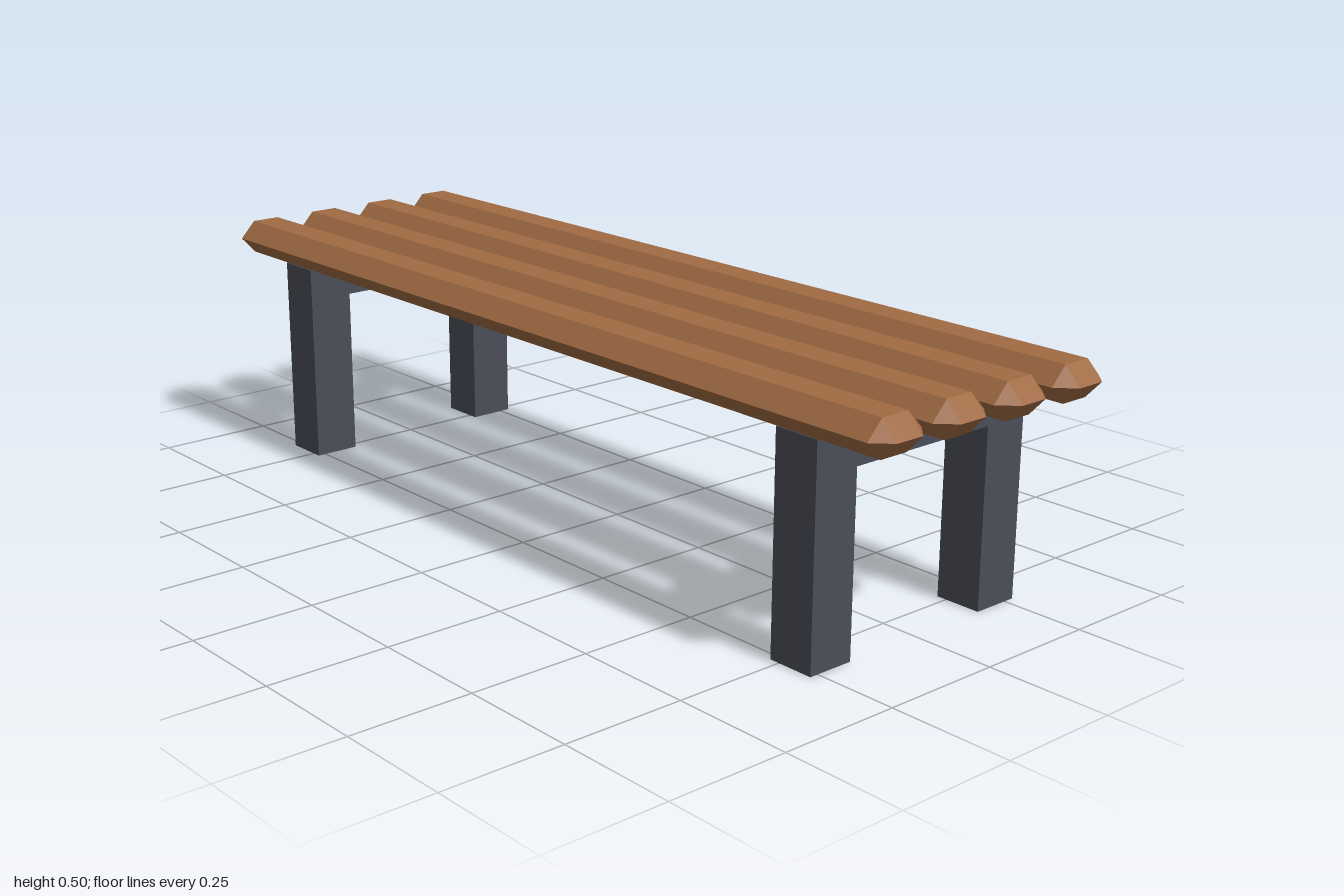
import * as THREE from 'three';
import { ConvexGeometry } from 'three/addons/geometries/ConvexGeometry.js';

export function createModel() {
  const bench = new THREE.Group();
  bench.name = 'bench';

  const wood = new THREE.MeshStandardMaterial({ color: 0xa06a43 });
  wood.name = 'brown wood';
  const metal = new THREE.MeshStandardMaterial({ color: 0x4a4e58 });
  metal.name = 'dark grey metal';

  // Slat: a plank bevelled on all sides down to a sharp edge at mid height
  const halfLength = 1, halfHeight = 0.036, halfWidth = 0.065, bevel = 0.034;
  const points = [];
  for (const sx of [-1, 1]) {
    for (const sz of [-1, 1]) {
      const x = sx * (halfLength - bevel);
      const z = sz * (halfWidth - bevel);
      points.push(
        new THREE.Vector3(x, halfHeight, z),
        new THREE.Vector3(x, -halfHeight, z),
        new THREE.Vector3(x, 0, sz * halfWidth),
        new THREE.Vector3(sx * halfLength, 0, z)
      );
    }
  }
  const slatGeometry = new ConvexGeometry(points);
  for (let i = 0; i < 4; i++) {
    const slat = new THREE.Mesh(slatGeometry, wood);
    slat.name = `seatSlat${i + 1}`;
    slat.position.set(0, 0.467, (1.5 - i) * 0.156);
    bench.add(slat);
  }

  // Leg frame: an upside-down U, extruded along x
  const outer = 0.27, inner = 0.171, top = 0.431, underside = 0.362, depth = 0.098;
  const outline = new THREE.Shape([
    [-outer, 0], [-inner, 0], [-inner, underside], [inner, underside],
    [inner, 0], [outer, 0], [outer, top], [-outer, top],
  ].map(([x, y]) => new THREE.Vector2(x, y)));
  const frameGeometry = new THREE.ExtrudeGeometry(outline, { depth, bevelEnabled: false });
  frameGeometry.translate(0, 0, -depth / 2);
  frameGeometry.rotateY(Math.PI / 2);
  for (const [name, side] of [['leftLegFrame', 1], ['rightLegFrame', -1]]) {
    const frame = new THREE.Mesh(frameGeometry, metal);
    frame.name = name;
    frame.position.set(side * 0.778, 0, -0.002);
    bench.add(frame);
  }

  return bench;
}
